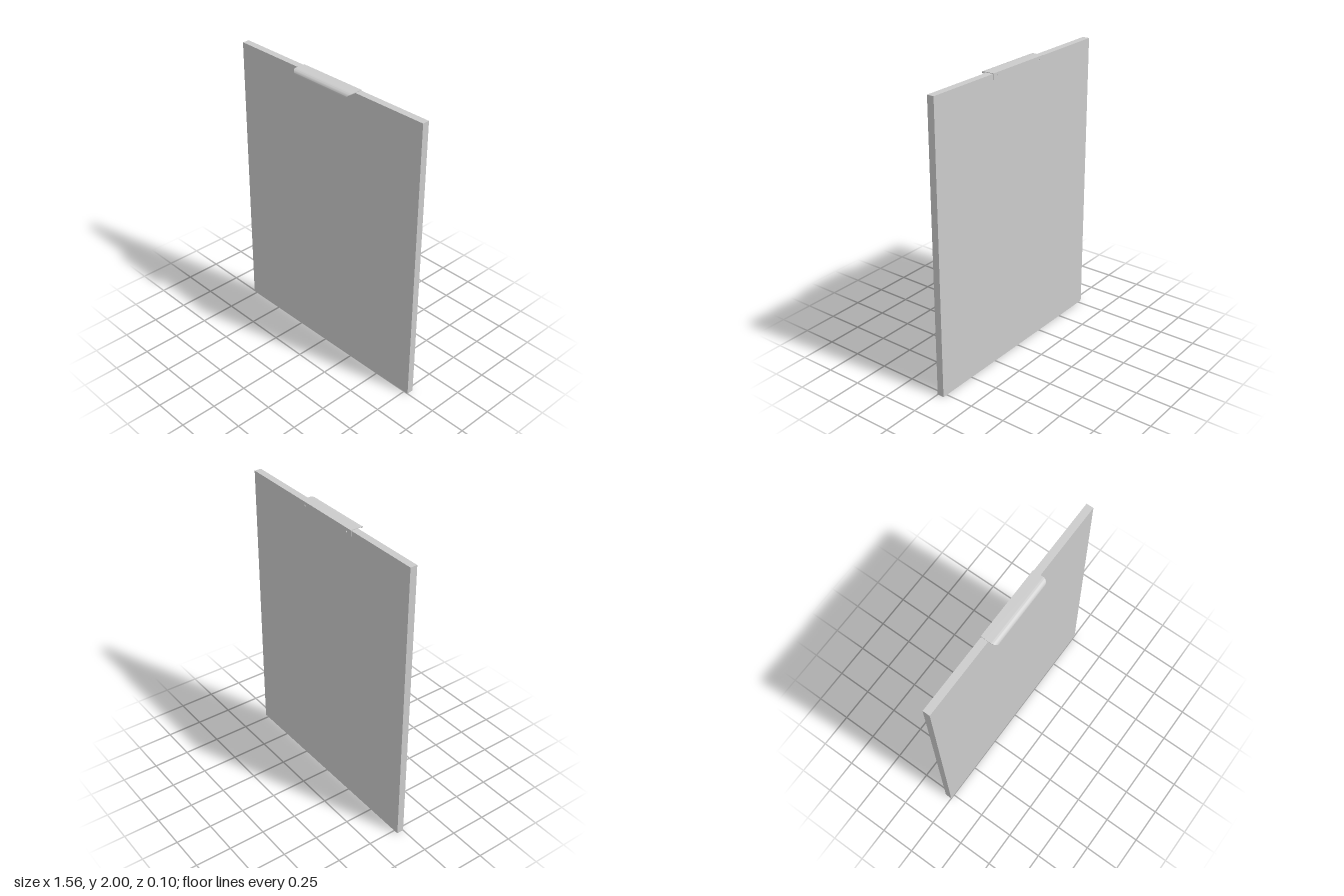
import * as THREE from 'three';
import { toCreasedNormals } from 'three/addons/utils/BufferGeometryUtils.js';

const material = new THREE.MeshStandardMaterial({ color: 0xcccccc });
const SHEET = 0.0035;      // metal thickness of the pull
const HALF = 0.25;         // half width of the pull
const BACK = -0.0485;      // rear face of the panel

function addMesh(parent, name, geometry) {
  const mesh = new THREE.Mesh(geometry, material);
  mesh.name = name;
  parent.add(mesh);
  return mesh;
}

// Bent sheet: flat over the panel edge, then curling down with slanted ends
function gripGeometry() {
  const sections = [];
  const section = (zo, yo, zi, yi, w) => sections.push([
    [-w, yo, zo], [w, yo, zo], [w, yi, zi], [-w, yi, zi],
  ]);
  section(BACK - SHEET, 2, BACK - SHEET, 2 - SHEET, HALF);
  const steps = 14, rz = 0.034, ry = 0.026, z0 = 0.018;
  for (let i = 0; i <= steps; i++) {
    const a = (i / steps) * Math.PI / 2, s = Math.sin(a), c = Math.cos(a);
    section(z0 + rz * s, 2 - ry + ry * c,
      z0 + (rz - SHEET) * s, 2 - ry + (ry - SHEET) * c,
      HALF - 0.027 * (1 - c));
  }
  const pos = [];
  const quad = (a, b, c, d) => pos.push(...a, ...b, ...c, ...a, ...c, ...d);
  for (let i = 0; i < sections.length - 1; i++) {
    const p = sections[i], q = sections[i + 1];
    for (let k = 0; k < 4; k++) {
      const n = (k + 1) % 4;
      quad(p[k], q[k], q[n], p[n]);
    }
  }
  const first = sections[0], last = sections[sections.length - 1];
  quad(first[0], first[1], first[2], first[3]);
  quad(last[3], last[2], last[1], last[0]);
  const geometry = new THREE.BufferGeometry();
  geometry.setAttribute('position', new THREE.Float32BufferAttribute(pos, 3));
  return toCreasedNormals(geometry, Math.PI / 6);
}

// Rear mounting strip with two screw holes
function flangeGeometry() {
  const top = 2 - SHEET, bottom = 1.96;
  const shape = new THREE.Shape();
  shape.moveTo(-HALF, bottom);
  shape.lineTo(HALF, bottom);
  shape.lineTo(HALF, top);
  shape.lineTo(-HALF, top);
  shape.closePath();
  for (const side of [-1, 1]) {
    const hole = new THREE.Path();
    hole.absarc(side * 0.21, 1.977, 0.006, 0, Math.PI * 2, true);
    shape.holes.push(hole);
  }
  const geometry = new THREE.ExtrudeGeometry(shape, {
    depth: SHEET, bevelEnabled: false, curveSegments: 12,
  });
  return geometry.translate(0, 0, BACK - SHEET);
}

export function createModel() {
  const model = new THREE.Group();
  model.name = 'cabinetFront';

  // Flat door panel
  const height = 2 - SHEET;
  const panel = addMesh(model, 'panel', new THREE.BoxGeometry(1.564, height, -BACK));
  panel.position.set(0, height / 2, BACK / 2);

  // Edge pull hooked over the top of the panel
  const pull = new THREE.Group();
  pull.name = 'edgePull';
  model.add(pull);
  addMesh(pull, 'pullGrip', gripGeometry());
  addMesh(pull, 'pullFlange', flangeGeometry());

  return model;
}
